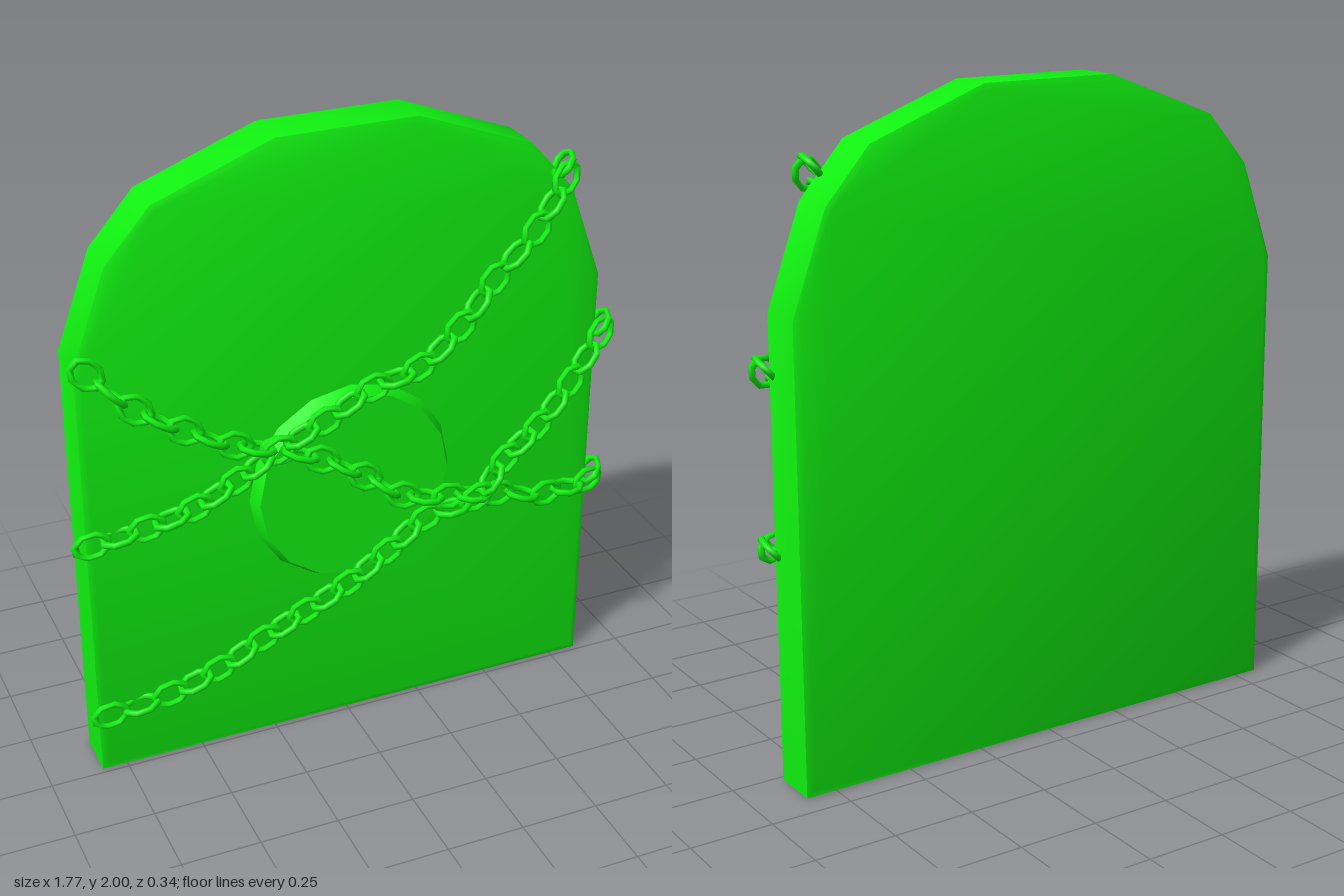
import * as THREE from 'three';
import { toCreasedNormals } from 'three/addons/utils/BufferGeometryUtils.js';

const green = new THREE.MeshStandardMaterial({ color: 0x10f010 });

function addMesh(parent, name, geometry) {
  const mesh = new THREE.Mesh(geometry, green);
  mesh.name = name;
  parent.add(mesh);
  return mesh;
}

// Arched slab with a shallow chamfer around its face
function slabGeometry() {
  const half = [[0.8375, 0], [0.8375, 1.4], [0.73, 1.7], [0.59, 1.86], [0.22, 2]];
  const mirrored = half.map(([x, y]) => [-x, y]).reverse();
  const outline = [...half, ...mirrored].map(([x, y]) => new THREE.Vector2(x + 0.0075, y));
  const geometry = new THREE.ExtrudeGeometry(new THREE.Shape(outline), {
    depth: 0.147, bevelThickness: 0.008, bevelSize: 0.02, bevelOffset: -0.02, bevelSegments: 1,
  });
  geometry.translate(0, 0, -0.165);
  return toCreasedNormals(geometry, 0.6);
}

// One faceted oval link, long along x and lying in the xy plane
const linkGeometry = new THREE.TorusGeometry(0.045, 0.0105, 6, 8);
linkGeometry.rotateZ(Math.PI / 8);
linkGeometry.scale(1.17, 0.88, 1);

function addLink(chain, position, direction, roll) {
  const link = addMesh(chain, 'chainLink', linkGeometry);
  const along = direction.clone().normalize();
  const across = new THREE.Vector3(0, 0, 1).cross(along).normalize();
  const facing = along.clone().cross(across);
  link.quaternion.setFromRotationMatrix(new THREE.Matrix4().makeBasis(along, across, facing));
  link.rotateX(roll);
  link.position.copy(position);
}

// Links alternate between flat and edge-on along a curve through the flat ones
function makeChain(name, points) {
  const chain = new THREE.Group();
  chain.name = name;
  const curve = new THREE.CatmullRomCurve3(points.map((p) => new THREE.Vector3(...p)));
  const count = 2 * (points.length - 1);
  for (let i = 0; i <= count; i++) {
    addLink(chain, curve.getPoint(i / count), curve.getTangent(i / count), i % 2 ? Math.PI / 2 : 0);
  }
  return chain;
}

// Ring turned towards the slab that anchors the end of a chain
function addAnchor(chain, x, y, z) {
  addLink(chain, new THREE.Vector3(x, y, z), new THREE.Vector3(0.35, 0.12, -0.9), Math.PI / 3);
}

export function createModel() {
  const model = new THREE.Group();
  model.name = 'chainedSlab';

  addMesh(model, 'slab', slabGeometry());

  // Raised round plate
  const plate = new THREE.CylinderGeometry(0.31, 0.335, 0.05, 16);
  plate.rotateX(Math.PI / 2);
  addMesh(model, 'roundPlate', toCreasedNormals(plate, 0.6)).position.set(0.01, 0.86, 0.005);

  const falling = makeChain('fallingChain', [
    [-0.8, 1.4, 0.01], [-0.67, 1.27, 0.03], [-0.53, 1.18, 0.045], [-0.38, 1.1, 0.05],
    [-0.25, 1.06, 0.06], [-0.12, 1.01, 0.08], [0.016, 0.926, 0.09], [0.14, 0.836, 0.1],
    [0.29, 0.8, 0.105], [0.46, 0.77, 0.105], [0.64, 0.72, 0.09], [0.82, 0.7, 0.04],
  ]);
  addAnchor(falling, 0.85, 0.71, 0);

  const upper = makeChain('upperRisingChain', [
    [-0.82, 0.84, 0.01], [-0.656, 0.873, 0.03], [-0.51, 0.915, 0.045], [-0.38, 0.98, 0.05],
    [-0.25, 1.063, 0.065], [-0.11, 1.14, 0.085], [0.037, 1.227, 0.1], [0.18, 1.27, 0.11],
    [0.31, 1.38, 0.115], [0.42, 1.51, 0.11], [0.56, 1.64, 0.095], [0.68, 1.76, 0.04],
  ]);
  addAnchor(upper, 0.69, 1.79, 0);

  const lower = makeChain('lowerRisingChain', [
    [-0.8, 0.22, 0.01], [-0.61, 0.26, 0.03], [-0.455, 0.32, 0.045], [-0.31, 0.4, 0.055],
    [-0.175, 0.476, 0.07], [-0.04, 0.556, 0.09], [0.085, 0.65, 0.105], [0.21, 0.746, 0.115],
    [0.38, 0.783, 0.12], [0.476, 0.894, 0.115], [0.59, 0.98, 0.105], [0.71, 1.1, 0.085],
    [0.835, 1.22, 0.035],
  ]);
  addAnchor(lower, 0.85, 1.24, 0);

  model.add(falling, upper, lower);
  return model;
}
